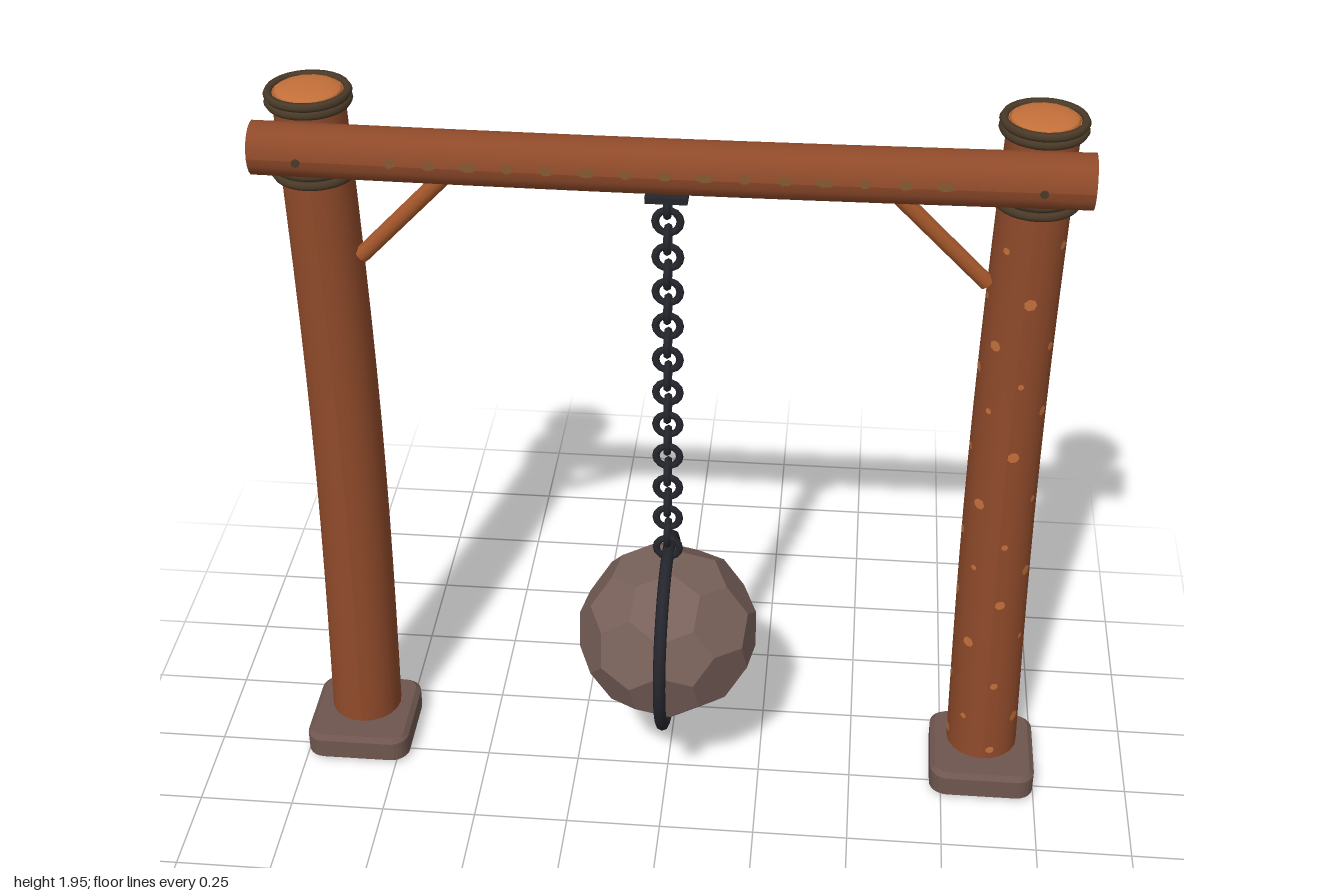
import * as THREE from 'three';
import { ConvexGeometry } from 'three/addons/geometries/ConvexGeometry.js';

const mat = (name, color) => {
  const m = new THREE.MeshStandardMaterial({ color });
  m.name = name;
  return m;
};

export function createModel() {
  const bark = mat('bark', 0x8f4a2a);
  const cutWood = mat('cut wood', 0xc4703a);
  const braceWood = mat('brace wood', 0xa8592c);
  const moss = mat('weathered wood', 0x855a35);
  const rope = mat('rope', 0x4a3a28);
  const iron = mat('iron', 0x25262d);
  const footStone = mat('foot stone', 0x6e564e);
  const ballStone = mat('ball stone', 0x78605a);
  ballStone.flatShading = true;

  const model = new THREE.Group();
  model.name = 'hangingStoneFrame';
  const add = (name, geo, material, x = 0, y = 0, z = 0, parent = model) => {
    const m = new THREE.Mesh(geo, material);
    m.name = name;
    m.position.set(x, y, z);
    parent.add(m);
    return m;
  };

  // Log with a slight bend: the vertices follow a centre-line rule
  const log = (r0, r1, length, bend) => {
    const g = new THREE.CylinderGeometry(r1, r0, length, 20, 12);
    const p = g.attributes.position;
    for (let i = 0; i < p.count; i++) {
      const [dx, dz] = bend(p.getY(i) / length + 0.5);
      p.setX(i, p.getX(i) + dx);
      p.setZ(i, p.getZ(i) + dz);
    }
    g.computeVertexNormals();
    return g;
  };

  const y0 = 0.06, y1 = 1.94, postZ = -0.105;
  const lean = (t) => Math.sin(Math.PI * t) * 0.014;
  const radiusAt = (t) => 0.095 - 0.009 * t;

  for (const s of [-1, 1]) {
    const side = s > 0 ? 'left' : 'right';
    const x = s * 0.858;

    // Stone foot with rounded corners and a bevelled top
    const a = 0.127, r = 0.035;
    const shape = new THREE.Shape();
    shape.moveTo(-a + r, -a);
    [[1, -1], [1, 1], [-1, 1], [-1, -1]].forEach(([cx, cy], i) => {
      const q = -Math.PI / 2 + i * Math.PI / 2;
      shape.absarc(cx * (a - r), cy * (a - r), r, q, q + Math.PI / 2, false);
    });
    const foot = new THREE.ExtrudeGeometry(shape, {
      depth: 0.056, bevelThickness: 0.012, bevelSize: 0.013, bevelSegments: 1, curveSegments: 3,
    });
    foot.rotateX(-Math.PI / 2);
    add(side + 'Foot', foot, footStone, x, 0.012, -0.072);

    // Post and its cut top
    const post = log(radiusAt(0), radiusAt(1), y1 - y0, (t) => [-s * lean(t), -lean(t) * 0.7]);
    add(side + 'Post', post, [bark, cutWood, bark], x, (y0 + y1) / 2, postZ);
    const cap = add(side + 'PostTop', new THREE.SphereGeometry(0.083, 16, 4, 0, Math.PI * 2, 0, Math.PI / 2),
      cutWood, x, y1, postZ);
    cap.scale.y = 0.18;

    // Rope lashings
    for (const y of [1.736, 1.76, 1.918, 1.938]) {
      const ring = add(side + 'Lashing', new THREE.TorusGeometry(0.094, 0.011, 6, 28), rope, x, y, postZ);
      ring.rotation.x = Math.PI / 2;
    }

    // Diagonal brace
    const from = new THREE.Vector3(s * 0.758, 1.515, -0.09);
    const to = new THREE.Vector3(s * 0.51, 1.79, -0.03);
    const brace = add(side + 'Brace', new THREE.CylinderGeometry(0.021, 0.021, from.distanceTo(to), 8), braceWood);
    brace.position.copy(from).lerp(to, 0.5);
    brace.quaternion.setFromUnitVectors(new THREE.Vector3(0, 1, 0), to.clone().sub(from).normalize());

    // Peg through the beam end
    const peg = add(side + 'Peg', new THREE.CylinderGeometry(0.01, 0.01, 0.008, 8), rope, x, 1.835, 0.067);
    peg.rotation.x = Math.PI / 2;
  }

  // Bark chips scattered around the left post
  const chips = new THREE.Group();
  chips.name = 'barkChips';
  model.add(chips);
  for (let row = 0; row < 15; row++) {
    for (let c = 0; c < 4; c++) {
      const y = 0.11 + row * 0.116 + Math.sin(row * 5 + c * 2.3) * 0.025;
      const t = (y - y0) / (y1 - y0);
      const ang = c * Math.PI / 2 + (row % 2) * 0.75 + 0.2 + Math.sin(row * 3.1 + c) * 0.12;
      const rr = radiusAt(t) + 0.001;
      const size = 0.012 + 0.004 * Math.sin(row * 1.7 + c * 2.9);
      const chip = add('barkChip', new THREE.CircleGeometry(size, 7), cutWood,
        0.858 - lean(t) + Math.sin(ang) * rr, y, postZ - lean(t) * 0.7 + Math.cos(ang) * rr, chips);
      chip.rotation.y = ang;
    }
  }

  // Cross beam, bowed slightly forward
  const bow = (t) => 0.012 * Math.sin(Math.PI * t) - 0.001;
  const beam = add('beam', log(0.066, 0.064, 1.95, (t) => [0, bow(t)]), [bark, cutWood, cutWood], 0, 1.838, 0);
  beam.rotation.z = Math.PI / 2;

  // Weathered flecks along the front of the beam
  for (let i = -7; i <= 7; i++) {
    const x = i * 0.091;
    const fleck = add('beamFleck', new THREE.CircleGeometry(0.012, 7), moss,
      x, 1.845, bow(0.5 + x / 1.95) + 0.067);
    fleck.scale.x = 1.5 + 0.4 * Math.sin(i * 2.1);
  }

  // Iron plate and alternating chain links
  add('chainPlate', new THREE.BoxGeometry(0.1, 0.016, 0.09), iron, 0, 1.768, 0.005);
  for (let i = 0; i < 22; i++) {
    const link = add('chainLink', new THREE.TorusGeometry(0.03, 0.0095, 6, 14), iron, 0, 1.737 - i * 0.0473, 0);
    if (i % 2 === 0) link.rotation.y = Math.PI / 2;
  }

  // Iron hoop around the ball
  const hoop = add('hoop', new THREE.TorusGeometry(0.25, 0.016, 8, 40), iron, 0, 0.472, 0);
  hoop.rotation.y = Math.PI / 2;

  // Faceted stone ball: an icosahedron with its corners cut off
  const ico = new THREE.IcosahedronGeometry(1, 0).attributes.position;
  const corners = new Map();
  for (let i = 0; i < ico.count; i++) {
    for (const j of [1, 2]) {
      const p = new THREE.Vector3().fromBufferAttribute(ico, i);
      const q = new THREE.Vector3().fromBufferAttribute(ico, i - (i % 3) + ((i + j) % 3));
      p.lerp(q, 0.33).setLength(0.238);
      corners.set(p.toArray().map((v) => Math.round(v * 1000)).join(), p);
    }
  }
  const ball = add('stoneBall', new ConvexGeometry([...corners.values()]), ballStone, 0, 0.476, 0);
  ball.rotation.set(0.25, 0.4, 0.15);
  ball.scale.set(1, 0.95, 1);

  return model;
}
